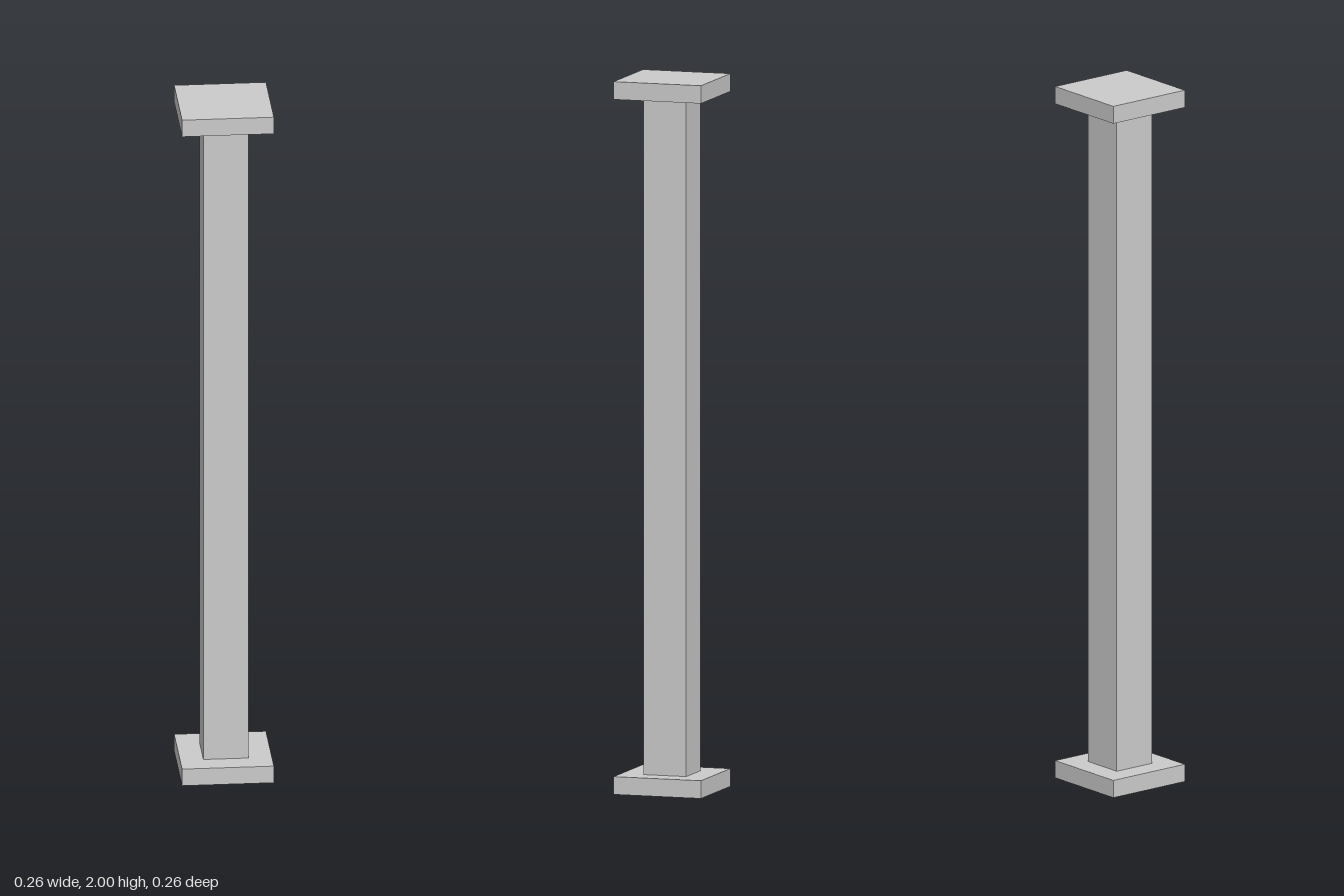
import * as THREE from 'three';

export function createModel() {
  const model = new THREE.Group();
  model.name = 'column';
  const material = new THREE.MeshStandardMaterial({ color: 0xcccccc, flatShading: true });

  const height = 2, plateWidth = 0.256, plateHeight = 0.05, shaftWidth = 0.126;

  // Square block standing on the given height
  function addBlock(name, width, blockHeight, bottom) {
    const mesh = new THREE.Mesh(new THREE.BoxGeometry(width, blockHeight, width), material);
    mesh.name = name;
    mesh.position.y = bottom + blockHeight / 2;
    model.add(mesh);
  }

  addBlock('basePlate', plateWidth, plateHeight, 0);
  addBlock('shaft', shaftWidth, height - 2 * plateHeight, plateHeight);
  addBlock('topPlate', plateWidth, plateHeight, height - plateHeight);

  return model;
}
